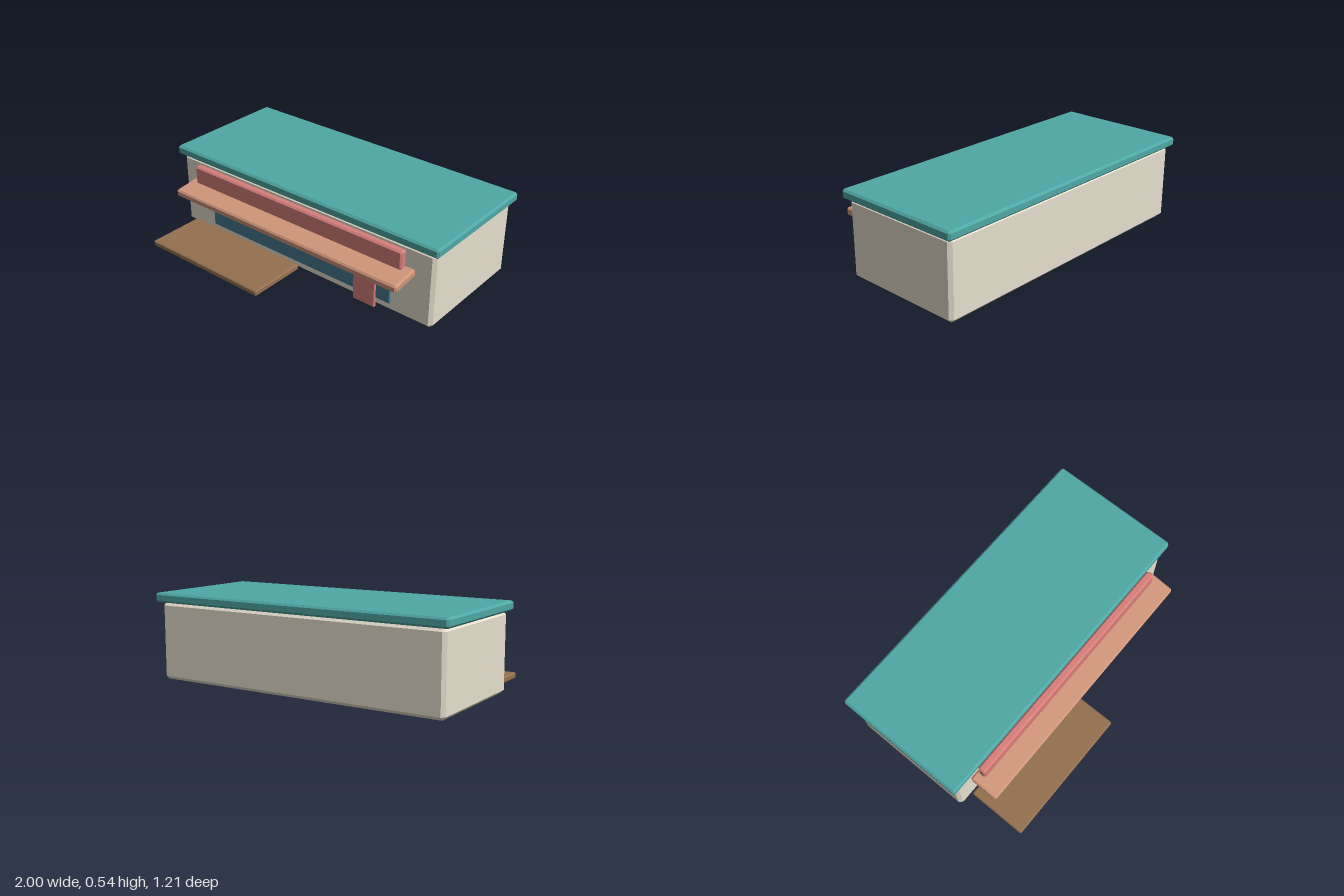
import * as THREE from 'three';
import { ConvexGeometry } from 'three/addons/geometries/ConvexGeometry.js';

// Box with flat chamfers on every edge: three inset points per corner
function chamferBox(w, h, d, c) {
  const points = [];
  for (const sx of [-1, 1]) for (const sy of [-1, 1]) for (const sz of [-1, 1]) {
    const x = w / 2, y = h / 2, z = d / 2;
    points.push(
      new THREE.Vector3(sx * x, sy * (y - c), sz * (z - c)),
      new THREE.Vector3(sx * (x - c), sy * y, sz * (z - c)),
      new THREE.Vector3(sx * (x - c), sy * (y - c), sz * z));
  }
  return new ConvexGeometry(points);
}

export function createModel() {
  const group = new THREE.Group();

  // Adds a chamfered slab spanning the given [min, max] ranges
  function slab(name, color, [x0, x1], [y0, y1], [z0, z1], chamfer) {
    const material = new THREE.MeshStandardMaterial({ color });
    const mesh = new THREE.Mesh(chamferBox(x1 - x0, y1 - y0, z1 - z0, chamfer), material);
    mesh.name = name;
    mesh.position.set((x0 + x1) / 2, (y0 + y1) / 2, (z0 + z1) / 2);
    group.add(mesh);
    return mesh;
  }

  // Building shell and flat roof
  slab('walls', 0xe6dfce, [-0.97, 0.97], [0, 0.482], [-0.577, 0.212], 0.02);
  slab('roof', 0x4fa8a6, [-1, 1], [0.482, 0.54], [-0.605, 0.237], 0.012);

  // Shop front
  slab('window', 0x457b94, [-0.7, 0.7], [0.065, 0.315], [0.217, 0.234], 0.004);
  slab('door', 0xd87f7b, [0.45, 0.605], [0.004, 0.288], [0.228, 0.248], 0.004);
  slab('signBoard', 0xd87f7b, [-0.798, 0.798], [0.35, 0.47], [0.23, 0.28], 0.01);

  // Awning slopes down towards the front
  const awning = slab('awning', 0xd0967a, [-0.853, 0.853], [0.297, 0.347], [0.214, 0.402], 0.01);
  awning.rotation.x = 0.13;

  // Low deck to one side of the entrance
  slab('deck', 0x957150, [-0.878, 0.013], [0.004, 0.042], [0.224, 0.605], 0.007);

  return group;
}
